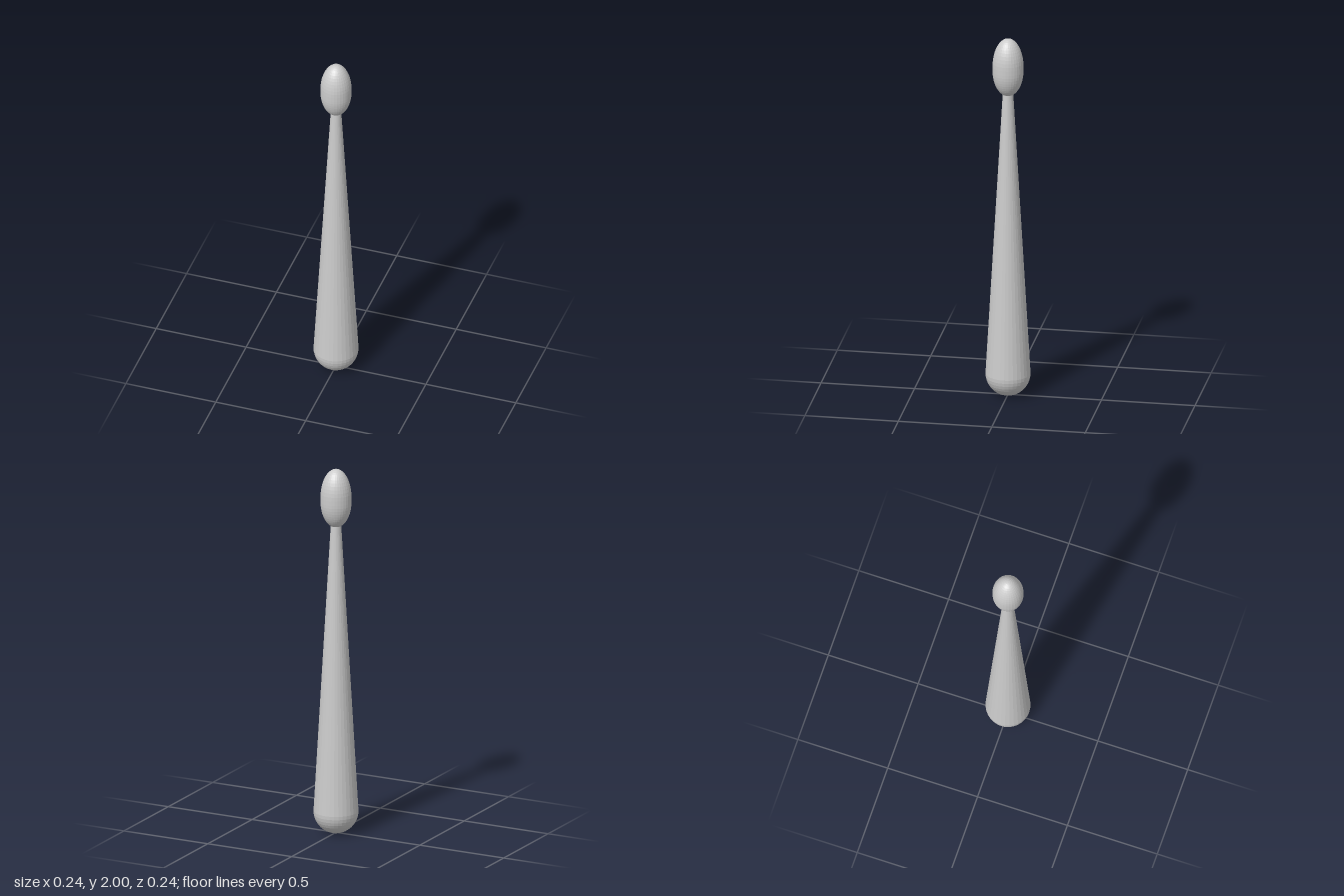
import * as THREE from 'three';

const SEGMENTS = 32;

// Points along a quarter ellipse centred on the axis, from angle a to angle b
function arc(cy, rx, ry, a, b, steps) {
  return Array.from({ length: steps + 1 }, (_, i) => {
    const t = a + ((b - a) * i) / steps;
    return new THREE.Vector2(Math.max(0, rx * Math.cos(t)), cy + ry * Math.sin(t));
  });
}

function turned(name, points, material) {
  const mesh = new THREE.Mesh(new THREE.LatheGeometry(points, SEGMENTS), material);
  mesh.name = name;
  return mesh;
}

export function createModel() {
  const group = new THREE.Group();
  group.name = 'drumstick';
  const material = new THREE.MeshStandardMaterial({ color: 0xcccccc, flatShading: true });
  const quarter = Math.PI / 2;

  // Rounded butt and long tapering shaft
  const shaft = [
    ...arc(0.12, 0.119, 0.12, -quarter, 0, 10),
    new THREE.Vector2(0.028, 1.69),
    new THREE.Vector2(0.028, 1.72),
  ];
  group.add(turned('shaft', shaft, material));

  // Oval bead: lower curve, short straight waist, taller dome
  const tip = [
    new THREE.Vector2(0, 1.69),
    ...arc(1.82, 0.082, 0.14, -1.2, 0, 10),
    ...arc(1.845, 0.082, 0.155, 0, quarter, 12),
  ];
  group.add(turned('tip', tip, material));

  return group;
}
